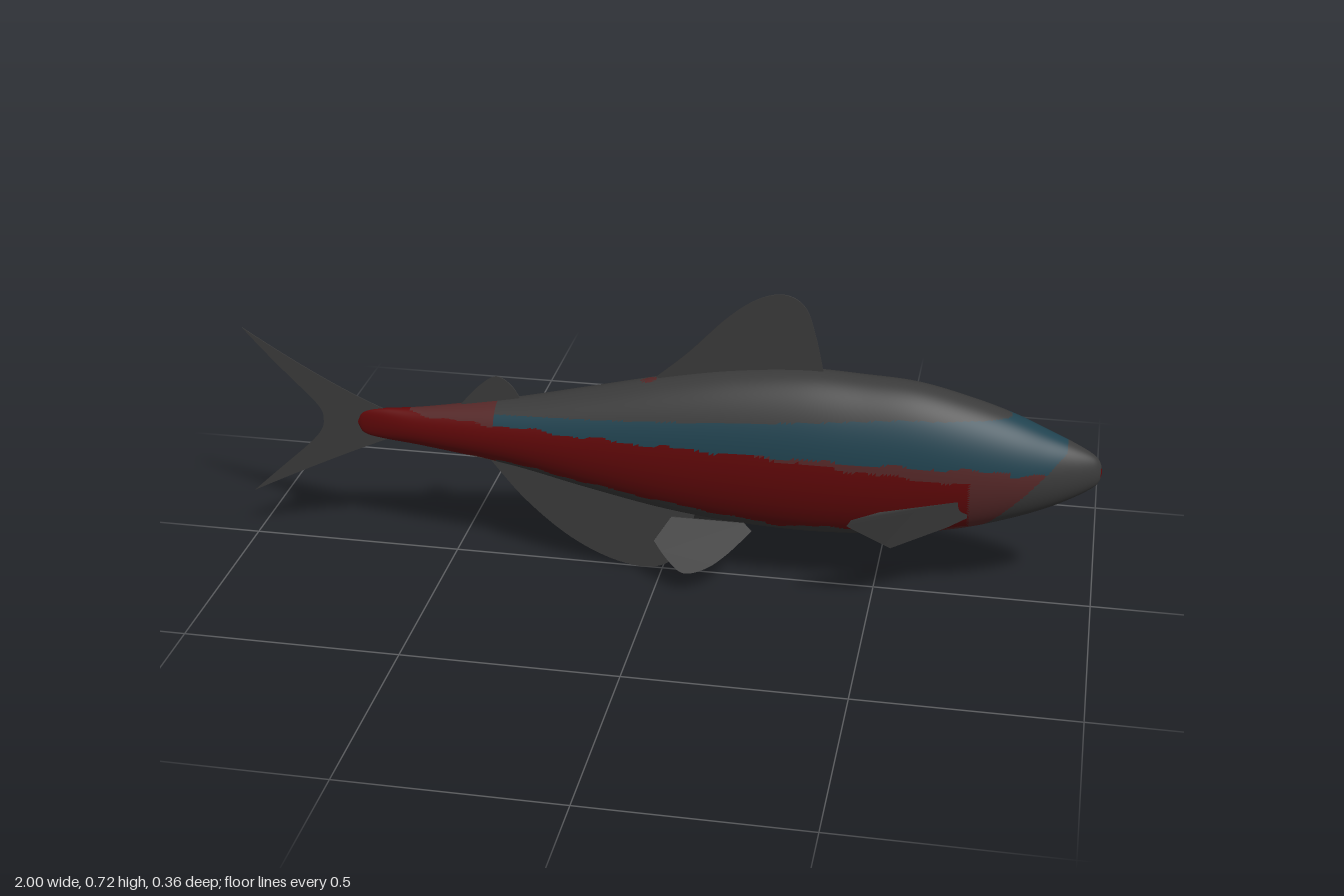
import * as THREE from 'three';

const flat = (name, color, side = THREE.FrontSide) => {
  const m = new THREE.MeshStandardMaterial({ color, side });
  m.name = name;
  return m;
};

// Body stations: x, top y, bottom y, half width
const STATIONS = [
  [-0.73, 0.325, 0.315, 0.001], [-0.715, 0.347, 0.293, 0.006], [-0.67, 0.36, 0.283, 0.015],
  [-0.56, 0.373, 0.273, 0.034], [-0.36, 0.41, 0.247, 0.064], [-0.18, 0.452, 0.207, 0.085],
  [0, 0.495, 0.17, 0.099], [0.16, 0.525, 0.15, 0.106], [0.32, 0.54, 0.142, 0.109],
  [0.46, 0.536, 0.147, 0.108], [0.58, 0.528, 0.159, 0.104], [0.7, 0.5, 0.184, 0.096],
  [0.8, 0.468, 0.216, 0.082], [0.88, 0.434, 0.248, 0.062], [0.94, 0.408, 0.279, 0.041],
  [0.98, 0.386, 0.305, 0.022], [0.995, 0.368, 0.322, 0.01], [1, 0.347, 0.343, 0.0005],
];

// Colour zone at a point of the skin: 0 grey, 1 teal, 2 red, 3 faded red, 4 dull rose
function zone(x, y, z) {
  const wave = 0.003 * Math.sin(x * 38) + 0.002 * Math.sin(x * 83);
  const lerp = THREE.MathUtils.lerp, clamp = THREE.MathUtils.clamp;
  // head with a dark red nose tip
  if (x > 0.9975) return 2;
  if (x > lerp(0.74, 0.92, clamp((y - 0.2) / 0.2, 0, 1))) return 0;
  // tail stalk
  if (x < -0.66) return 2;
  if (x < -0.37 + wave * 4) {
    if (y > 0.362 + wave) return x < -0.6 ? 2 : 3;
    if (y < 0.268 + wave && x > -0.48) return 4;
    return 2;
  }
  // small spot on the back
  if (y > 0.46 && Math.hypot(x + 0.03, z) < 0.016) return 3;
  const upper = x > 0.55 ? 0.47 : lerp(0.387, 0.47, (x + 0.38) / 0.93);
  const middle = (x > 0.8 ? 0.355 : 0.367) + wave;
  if (y > upper) return 0;
  if (y > middle) return 1;
  // flank and its faded border
  const lower = x < 0.25 ? lerp(0.272, 0.178, (x + 0.37) / 0.62) : lerp(0.172, 0.2, (x - 0.25) / 0.45);
  if (y < lower + wave) return x > 0.48 ? 3 : 0;
  if (x > 0.7 + wave * 3) return 3;
  if (x > 0.2 && y > middle - 0.028 * (x - 0.2) / 0.4) return 3;
  return 2;
}

function bodyGeometry() {
  const curve = (f) => new THREE.CatmullRomCurve3(STATIONS.map(f), false, 'catmullrom', 0.5);
  const outline = curve((s) => new THREE.Vector3(s[0], s[1], s[2]));
  const breadth = curve((s) => new THREE.Vector3(s[0], s[3], 0));
  const rows = (STATIONS.length - 1) * 14, cols = 160;
  const pos = [], faces = [[], [], [], [], []];
  for (let i = 0; i <= rows; i++) {
    const o = outline.getPoint(i / rows), w = breadth.getPoint(i / rows).y;
    for (let j = 0; j < cols; j++) {
      const a = (j / cols) * Math.PI * 2;
      pos.push(o.x, (o.y + o.z) / 2 + ((o.y - o.z) / 2) * Math.cos(a), w * Math.sin(a));
    }
  }
  const addFace = (...ids) => {
    const mid = [0, 1, 2].map((k) => ids.reduce((sum, id) => sum + pos[id * 3 + k], 0) / 3);
    faces[zone(...mid)].push(...ids);
  };
  for (let i = 0; i < rows; i++) {
    for (let j = 0; j < cols; j++) {
      const a = i * cols + j, b = i * cols + ((j + 1) % cols);
      addFace(a, b, a + cols);
      addFace(b, b + cols, a + cols);
    }
  }
  const g = new THREE.BufferGeometry();
  g.setAttribute('position', new THREE.Float32BufferAttribute(pos, 3));
  g.setIndex(faces.flat());
  let start = 0;
  faces.forEach((f, k) => { g.addGroup(start, f.length, k); start += f.length; });
  g.computeVertexNormals();
  return g;
}

// Thin upright plate
const plate = (shape, depth) =>
  new THREE.ExtrudeGeometry(shape, { depth, bevelEnabled: false, curveSegments: 28 }).translate(0, 0, -depth / 2);

// Fin: smooth edge through points, closed by a root hidden in the body
function finGeometry(edge, root) {
  const shape = new THREE.Shape();
  shape.moveTo(...edge[0]);
  shape.splineThru(edge.slice(1).map((p) => new THREE.Vector2(...p)));
  root.forEach((p) => shape.lineTo(...p));
  return plate(shape, 0.003);
}

export function createModel() {
  const group = new THREE.Group();
  const grey = flat('slate grey', 0x3b3b3b, THREE.DoubleSide);
  const teal = flat('deep teal', 0x20424f);
  const red = flat('dark red', 0x620809);
  const faded = flat('faded red', 0x562828);
  const rose = flat('dull rose', 0x6a4a46);
  const add = (name, geometry, material = grey) => {
    const mesh = new THREE.Mesh(geometry, material);
    mesh.name = name;
    group.add(mesh);
  };

  add('body', bodyGeometry(), [grey, teal, red, faded, rose]);

  // Fins on the centre line
  add('dorsalFin', finGeometry(
    [[-0.015, 0.495], [0.06, 0.562], [0.15, 0.655], [0.22, 0.705], [0.28, 0.718], [0.325, 0.69], [0.35, 0.62], [0.37, 0.53]],
    [[0.3, 0.5], [0.1, 0.47]]));
  add('adiposeFin', finGeometry(
    [[-0.48, 0.385], [-0.43, 0.44], [-0.39, 0.465], [-0.355, 0.445], [-0.33, 0.405]], [[-0.4, 0.36]]));
  add('analFin', finGeometry(
    [[-0.41, 0.25], [-0.33, 0.155], [-0.23, 0.07], [-0.13, 0.018], [-0.04, 0.001], [0.02, 0.022], [0.06, 0.075], [0.08, 0.17]],
    [[-0.1, 0.22]]));

  // Forked tail
  const tail = new THREE.Shape();
  tail.moveTo(-0.64, 0.35);
  tail.quadraticCurveTo(-0.78, 0.4, -1, 0.54);
  tail.bezierCurveTo(-0.86, 0.38, -0.81, 0.36, -0.815, 0.322);
  tail.bezierCurveTo(-0.81, 0.28, -0.86, 0.25, -1, 0.115);
  tail.quadraticCurveTo(-0.78, 0.23, -0.64, 0.29);
  add('tailFin', plate(tail, 0.002));

  // Paired fins, mirrored across the centre line
  for (const [label, s] of [['right', 1], ['left', -1]]) {
    const pelvic = finGeometry(
      [[-0.005, 0.115], [0.03, 0.08], [0.07, 0.056], [0.12, 0.068], [0.165, 0.098], [0.22, 0.15]],
      [[0.2, 0.165], [0.03, 0.165]]);
    const p = pelvic.attributes.position;
    for (let i = 0; i < p.count; i++) p.setZ(i, s * (p.getZ(i) + 0.05 + (0.162 - p.getY(i)) * 0.6));
    pelvic.computeVertexNormals();
    add(label + 'PelvicFin', pelvic);

    const rim = [[0.71, 0.288, 0.083], [0.52, 0.278, 0.155], [0.46, 0.265, 0.18], [0.45, 0.248, 0.178],
      [0.545, 0.172, 0.122], [0.67, 0.218, 0.083], [0.71, 0.24, 0.075]];
    const pectoral = new THREE.BufferGeometry();
    pectoral.setAttribute('position', new THREE.Float32BufferAttribute(rim.flatMap(([x, y, z]) => [x, y, s * z]), 3));
    const fan = [];
    for (let i = 1; i < rim.length - 1; i++) fan.push(0, ...(s > 0 ? [i, i + 1] : [i + 1, i]));
    pectoral.setIndex(fan);
    pectoral.computeVertexNormals();
    add(label + 'PectoralFin', pectoral);
  }
  return group;
}
